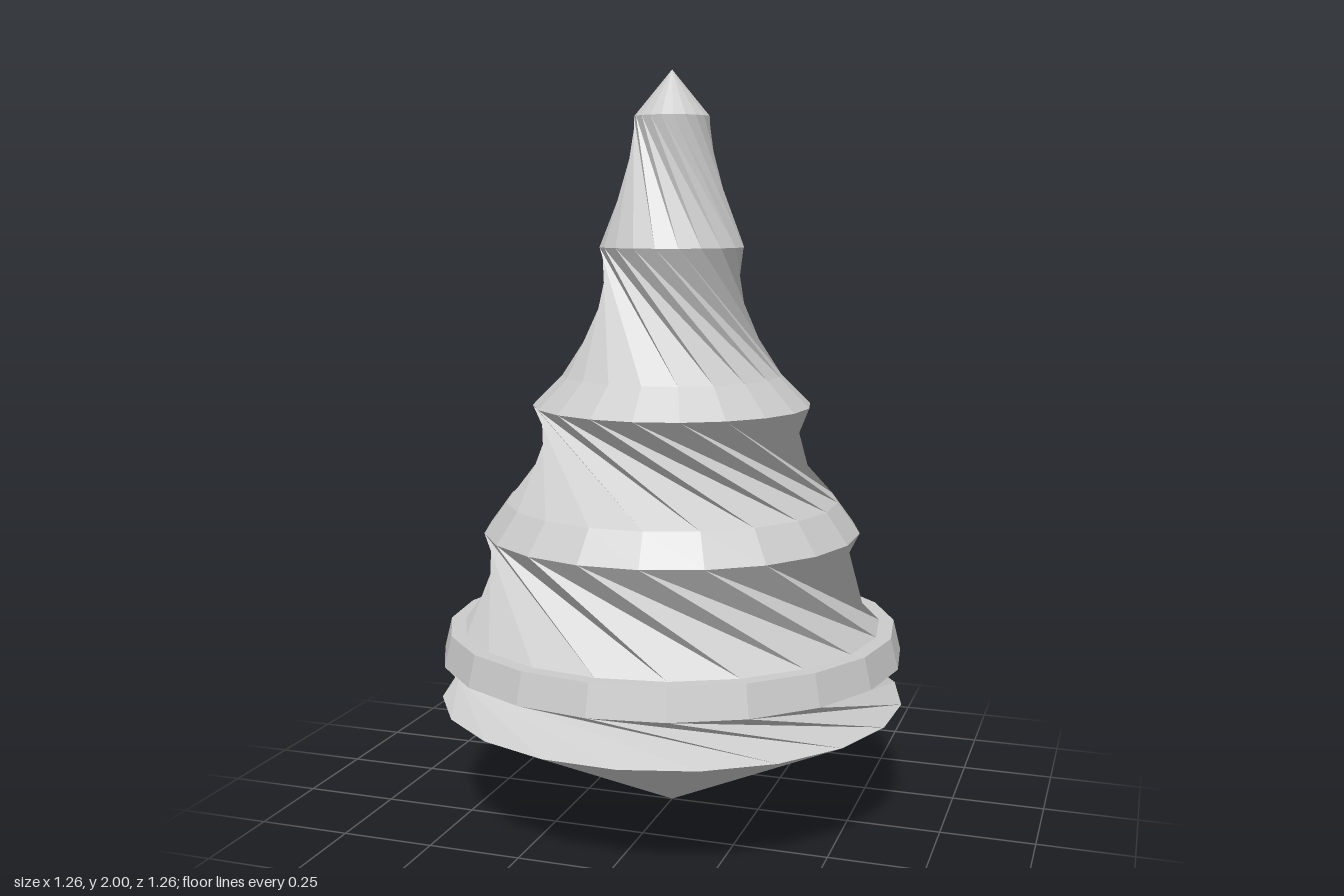
import * as THREE from 'three';

const SIDES = 20;
const STEP = (Math.PI * 2) / SIDES;
const material = new THREE.MeshStandardMaterial({ color: 0xcccccc, flatShading: true });

// Point on a ring; angle runs from +z towards +x
const point = (r, y, a) => [r * Math.sin(a), y, r * Math.cos(a)];

// Faceted band between two rings, the upper ring turned back by twist
function makeBand(name, [r0, y0], [r1, y1], phase, twist) {
  const positions = [];
  for (let i = 0; i < SIDES; i++) {
    const a = phase + i * STEP;
    const b = a + STEP;
    const lowA = point(r0, y0, a), lowB = point(r0, y0, b);
    const topA = point(r1, y1, a - twist), topB = point(r1, y1, b - twist);
    if (r0 > 0) positions.push(...lowA, ...lowB, ...topA);
    if (r1 > 0) positions.push(...topA, ...lowB, ...topB);
  }
  const geometry = new THREE.BufferGeometry();
  geometry.setAttribute('position', new THREE.Float32BufferAttribute(positions, 3));
  geometry.computeVertexNormals();
  const mesh = new THREE.Mesh(geometry, material);
  mesh.name = name;
  return mesh;
}

export function createModel() {
  const group = new THREE.Group();
  group.name = 'twistedTree';

  // Bands from the ground up: name, upper radius, upper height, twist in degrees
  const bands = [
    ['baseCone', 0.632, 0.32, 0],
    ['baseTwist', 0.63, 0.44, 43],
    ['collar', 0.61, 0.522, 0],
    ['collarRim', 0.57, 0.522, 0],
    ['lowerTwist', 0.51, 0.78, 44],
    ['lowerSkirt', 0.45, 0.862, 0],
    ['middleTwist', 0.375, 1.12, 60],
    ['middleSkirt', 0.295, 1.2, 0],
    ['upperTwist', 0.193, 1.54, 70],
    ['neckTwist', 0.1, 1.88, 57],
    ['tipCone', 0, 2, 0],
  ];

  let ring = [0, 0];
  let phase = THREE.MathUtils.degToRad(6);
  for (const [name, radius, height, degrees] of bands) {
    const twist = THREE.MathUtils.degToRad(degrees);
    const next = [radius, height];
    group.add(makeBand(name, ring, next, phase, twist));
    ring = next;
    phase -= twist;
  }
  return group;
}
